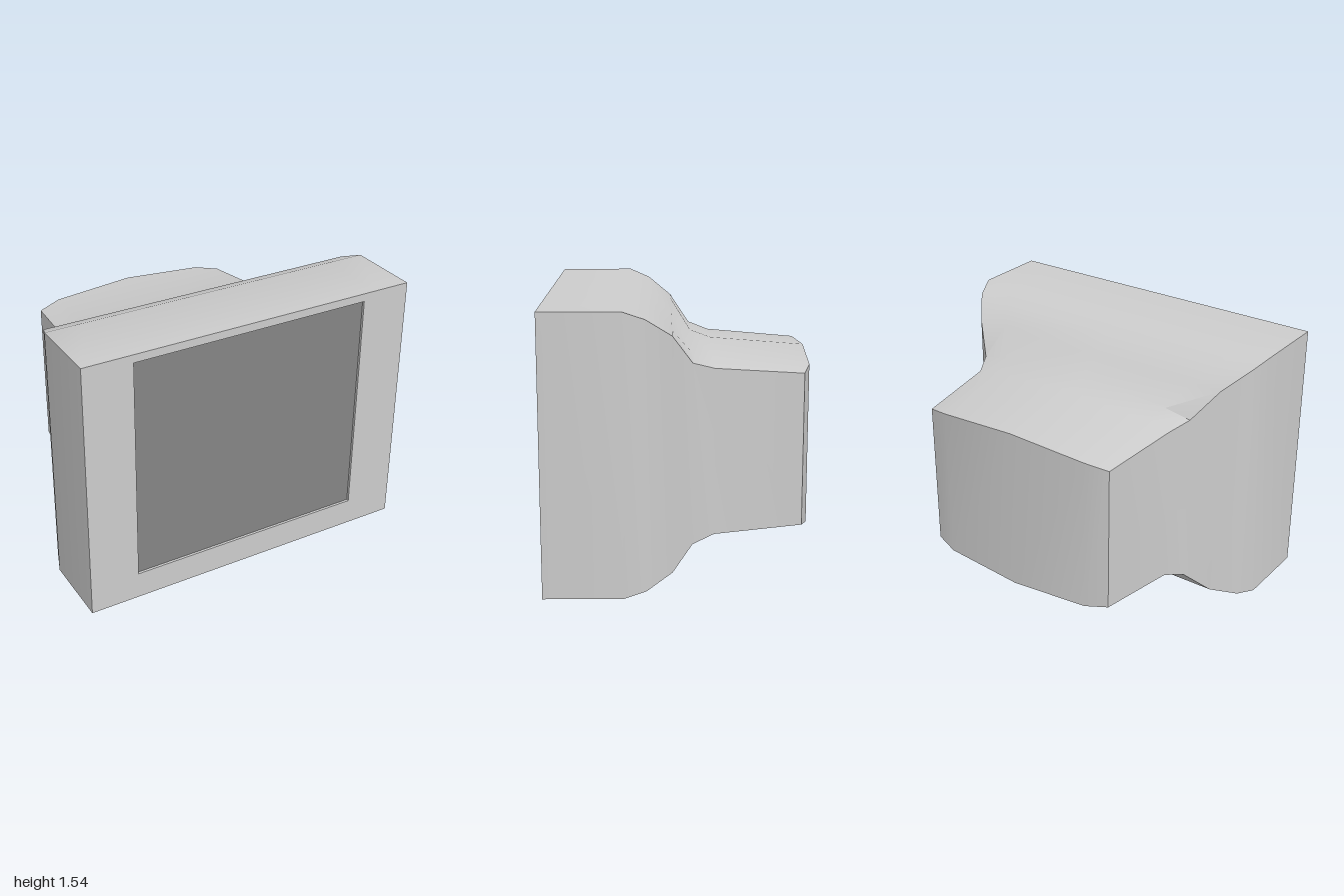
import * as THREE from 'three';
import { toCreasedNormals } from 'three/addons/utils/BufferGeometryUtils.js';

// Columns across the width: [fraction of half width, bulge in y, bulge in z]
const COLUMNS = [[-1, 0, 0], [-0.78, 0.45, 0.72], [0, 1, 1], [0.78, 0.45, 0.72], [1, 0, 0]];

const FRONT = 0.735, RECESS = 0.015;
const SCREEN = { halfWidth: 0.71, bottom: 0.16, top: 1.49 };

// Closed ring: along the top left to right, then back along the bottom
function ring([z, halfWidth, bottom, top, bulgeY = 0, bulgeZ = 0]) {
  const row = (y, sign) => COLUMNS.map(([f, by, bz]) =>
    [f * halfWidth, y + sign * by * bulgeY, z - bz * bulgeZ]);
  return [...row(top, 1), ...row(bottom, -1).reverse()];
}

// Joins the rings from front to back and caps the last one
function loft(sections) {
  const rings = sections.map(ring);
  const n = rings[0].length, positions = [];
  const quad = (a, b, c, d) => positions.push(...a, ...b, ...c, ...a, ...c, ...d);
  for (let i = 0; i < rings.length - 1; i++) {
    for (let j = 0; j < n; j++) {
      const k = (j + 1) % n;
      quad(rings[i][j], rings[i][k], rings[i + 1][k], rings[i + 1][j]);
    }
  }
  const back = rings[rings.length - 1];
  for (let j = 0; j < COLUMNS.length - 1; j++) {
    quad(back[j], back[j + 1], back[n - 2 - j], back[n - 1 - j]);
  }
  const geometry = new THREE.BufferGeometry();
  geometry.setAttribute('position', new THREE.Float32BufferAttribute(positions, 3));
  return toCreasedNormals(geometry, 0.6);
}

export function createModel() {
  const model = new THREE.Group();
  model.name = 'monitor';

  // Housing: screen recess, bezel, tapering shell and bulged back
  const { halfWidth, bottom, top } = SCREEN;
  const housing = new THREE.Mesh(
    loft([
      [FRONT - RECESS, halfWidth, bottom, top],
      [FRONT, halfWidth, bottom, top],
      [FRONT, 1, 0, 1.537],
      [0.30, 1, 0, 1.537],
      [0.18, 0.955, 0.025, 1.49],
      [0.04, 0.845, 0.09, 1.387],
      [-0.07, 0.725, 0.21, 1.222, 0.065],
      [-0.19, 0.67, 0.25, 1.183, 0.06],
      [-0.68, 0.617, 0.285, 1.145, 0.055, 0.055],
    ]),
    new THREE.MeshStandardMaterial({ color: 0xcccccc })
  );
  housing.name = 'housing';
  model.add(housing);

  // Dark screen set into the bezel
  const screen = new THREE.Mesh(
    new THREE.PlaneGeometry(halfWidth * 2, top - bottom),
    new THREE.MeshStandardMaterial({ color: 0x848484 })
  );
  screen.name = 'screen';
  screen.position.set(0, (top + bottom) / 2, FRONT - RECESS);
  model.add(screen);

  return model;
}
